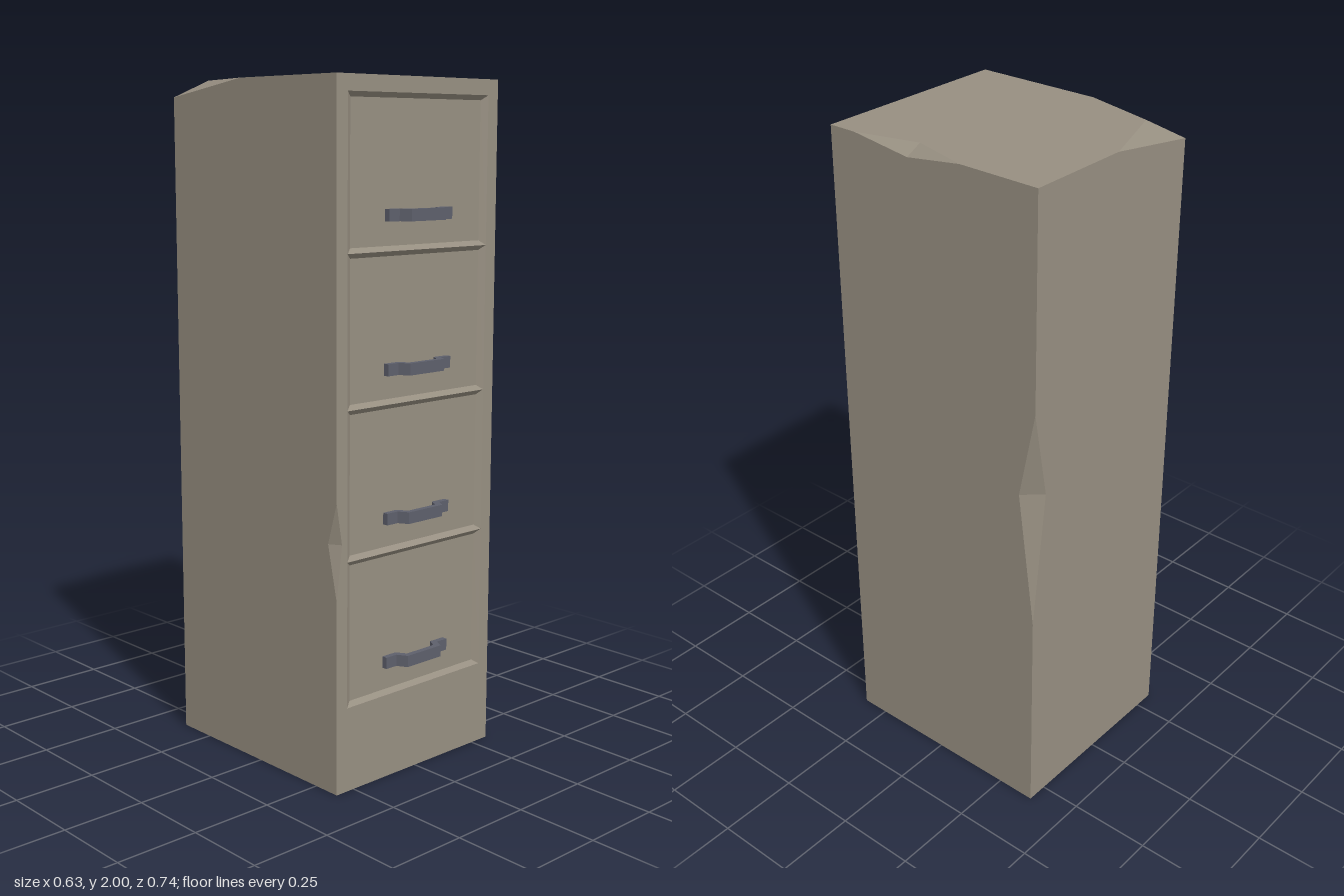
import * as THREE from 'three';

const V = (x, y, z) => new THREE.Vector3(x, y, z);
const X = 0.315, F = 0.337, B = -0.372, TOP = 2; // cabinet bounds
const FLOOR = 0.325;                             // sunk drawer face

// Collects flat faces; each is turned to face along the outward vector n.
function faceBuilder() {
  const pos = [];
  const tri = (a, b, c, n) => {
    const m = b.clone().sub(a).cross(c.clone().sub(a));
    const pts = m.dot(n) >= 0 ? [a, b, c] : [a, c, b];
    pts.forEach(p => pos.push(p.x, p.y, p.z));
  };
  // Planar polygon, triangulated in the plane across n's main axis
  const poly = (pts, n, hole = []) => {
    const flat = p => Math.abs(n.x) > 0.9 ? new THREE.Vector2(p.y, p.z)
      : Math.abs(n.y) > 0.9 ? new THREE.Vector2(p.x, p.z) : new THREE.Vector2(p.x, p.y);
    const all = [...pts, ...hole];
    const holes = hole.length ? [hole.map(flat)] : [];
    THREE.ShapeUtils.triangulateShape(pts.map(flat), holes)
      .forEach(([a, b, c]) => tri(all[a], all[b], all[c], n));
  };
  const quad = (a, b, c, d, n) => { tri(a, b, c, n); tri(a, c, d, n); };
  const build = () => {
    const g = new THREE.BufferGeometry();
    g.setAttribute('position', new THREE.Float32BufferAttribute(pos, 3));
    g.computeVertexNormals();
    return g;
  };
  return { tri, poly, quad, build };
}

const rect = (x, y0, y1, z) => [V(-x, y0, z), V(x, y0, z), V(x, y1, z), V(-x, y1, z)];

export function createModel() {
  const body = new THREE.MeshStandardMaterial({ color: 0x978f81 });
  body.name = 'dustyGrey';
  const metal = new THREE.MeshStandardMaterial({ color: 0x5e606c });
  metal.name = 'handleGrey';
  const model = new THREE.Group();
  model.name = 'filingCabinet';
  const add = (name, geometry, material) => {
    const mesh = new THREE.Mesh(geometry, material);
    mesh.name = name;
    model.add(mesh);
    return mesh;
  };

  const drawers = 4, y0 = 0.25, y1 = 1.955, openX = 0.275;
  const step = (y1 - y0) / drawers;

  // Dented edges: two edge ends and the pushed-in points on the two sides
  const topDent = [V(X, TOP, 0.25), V(X, TOP, -0.12), V(0.265, TOP, 0.06), V(X, 1.975, 0.06)];
  const backDent = [V(X, 0.68, B), V(X, 1.37, B), V(X, 1.1, -0.318), V(0.265, 1.1, B)];
  const frontDent = [V(-X, 0.57, F), V(-X, 0.85, F), V(-0.295, 0.73, F), V(-X, 0.73, 0.302)];
  // Crushed rear corner
  const corner = V(-X, 1.953, B), fold = V(-0.255, TOP, -0.283);
  const cornerBack = V(-0.01, TOP, B), cornerSide = V(-X, TOP, -0.06);

  // Cabinet shell
  const shell = faceBuilder();
  shell.poly([V(-X, 0, F), V(X, 0, F), V(X, TOP, F), V(-X, TOP, F),
    frontDent[1], frontDent[2], frontDent[0]], V(0, 0, 1), rect(openX, y0, y1, F));
  shell.poly([V(-X, 0, B), V(X, 0, B), backDent[0], backDent[3], backDent[1],
    V(X, TOP, B), cornerBack, corner], V(0, 0, -1));
  shell.poly([V(X, 0, F), V(X, 0, B), backDent[0], backDent[2], backDent[1], V(X, TOP, B),
    topDent[1], topDent[3], topDent[0], V(X, TOP, F)], V(1, 0, 0));
  shell.poly([V(-X, 0, F), frontDent[0], frontDent[3], frontDent[1], V(-X, TOP, F),
    cornerSide, corner, V(-X, 0, B)], V(-1, 0, 0));
  shell.poly([V(-X, TOP, F), V(X, TOP, F), topDent[0], topDent[2], topDent[1],
    V(X, TOP, B), cornerBack, fold, cornerSide], V(0, 1, 0));
  shell.poly([V(-X, 0, F), V(X, 0, F), V(X, 0, B), V(-X, 0, B)], V(0, -1, 0));

  // Dent faces
  [[topDent, V(1, 1, 0)], [backDent, V(1, 0, -1)], [frontDent, V(-1, 0, 1)]]
    .forEach(([[a, b, p, q], n]) => {
      shell.tri(a, p, q, n);
      shell.tri(b, p, q, n);
    });
  shell.tri(corner, fold, cornerBack, V(0, 1, 0));
  shell.tri(corner, cornerSide, fold, V(0, 1, 0));
  add('cabinetShell', shell.build(), body);

  // Sunk drawer faces with bevelled rims; neighbouring rims meet in a ridge
  for (let i = 0; i < drawers; i++) {
    const lo = y0 + i * step, hi = lo + step;
    const outer = rect(openX, lo, hi, F);
    const inner = rect(openX - 0.02, lo + 0.014, hi - 0.014, FLOOR);
    const front = faceBuilder();
    front.poly(inner, V(0, 0, 1));
    for (let k = 0; k < 4; k++) {
      const j = (k + 1) % 4;
      front.quad(outer[k], outer[j], inner[j], inner[k], V(0, 0, 1));
    }
    add('drawerFront' + (i + 1), front.build(), body);
  }

  // Bent strap handles
  const half = [[0.125, FLOOR], [0.125, 0.342], [0.085, 0.342], [0.068, 0.372]];
  const inside = [[0.073, FLOOR], [0.055, 0.355]];
  const mirror = list => list.map(([x, z]) => [-x, z]).reverse();
  const outline = [...half, ...mirror(half), ...mirror(inside).reverse(), ...[...inside].reverse()];
  const strap = new THREE.ExtrudeGeometry(
    new THREE.Shape(outline.map(([x, z]) => new THREE.Vector2(x, z))),
    { depth: 0.034, bevelEnabled: false });
  strap.translate(0, 0, -0.017).rotateX(Math.PI / 2);
  for (let i = 0; i < drawers; i++) {
    add('handle' + (i + 1), strap, metal).position.y = 0.348 + i * step;
  }
  return model;
}
